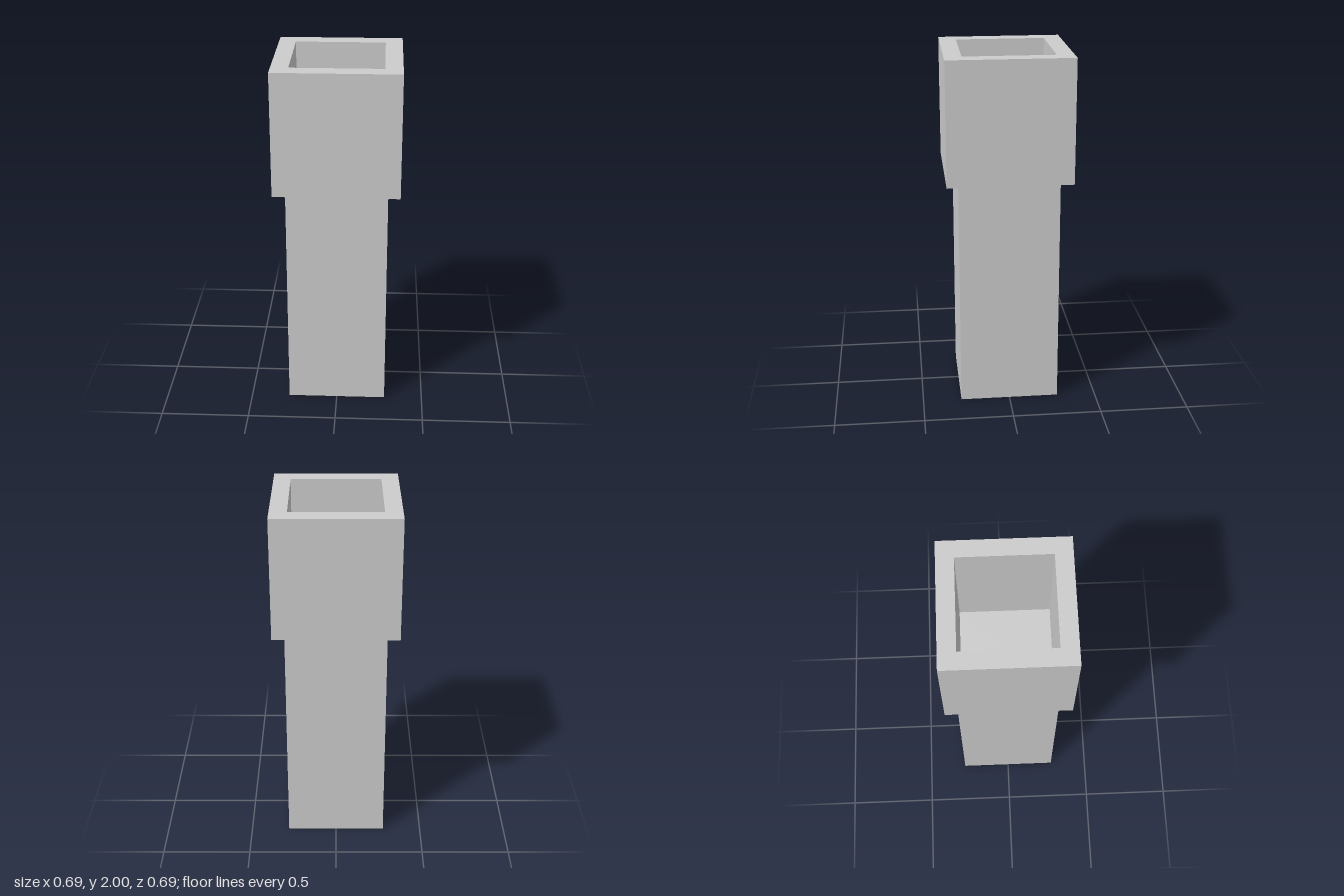
import * as THREE from 'three';

const SHAFT_WIDTH = 0.56, COLLAR_WIDTH = 0.692, OPENING = 0.502;
const COLLAR_BASE = 1.31, HEIGHT = 2;

// Corner points of a centred square
function square(size) {
  const h = size / 2;
  return [[-h, -h], [h, -h], [h, h], [-h, h]].map(([x, y]) => new THREE.Vector2(x, y));
}

export function createModel() {
  const group = new THREE.Group();
  const material = new THREE.MeshStandardMaterial({ color: 0xcccccc, flatShading: true });

  // Solid square shaft; its top closes the bottom of the collar opening
  const shaft = new THREE.Mesh(new THREE.BoxGeometry(SHAFT_WIDTH, COLLAR_BASE, SHAFT_WIDTH), material);
  shaft.name = 'shaft';
  shaft.position.y = COLLAR_BASE / 2;
  group.add(shaft);

  // Wider hollow collar, extruded upwards
  const outline = new THREE.Shape(square(COLLAR_WIDTH));
  outline.holes.push(new THREE.Path(square(OPENING).reverse()));
  const collarGeometry = new THREE.ExtrudeGeometry(outline, { depth: HEIGHT - COLLAR_BASE, bevelEnabled: false });
  collarGeometry.rotateX(-Math.PI / 2);
  const collar = new THREE.Mesh(collarGeometry, material);
  collar.name = 'collar';
  collar.position.y = COLLAR_BASE;
  group.add(collar);

  return group;
}
